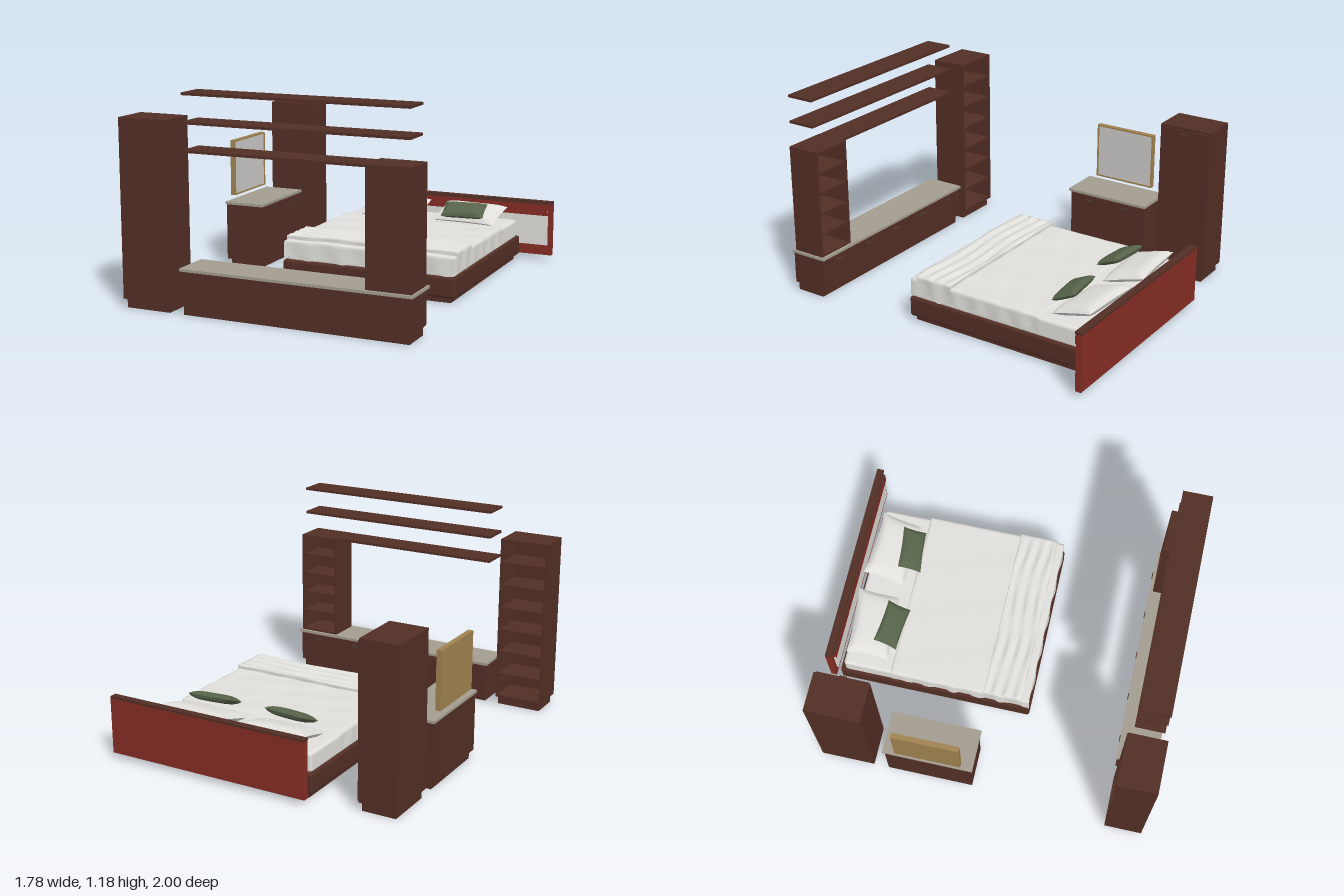
import * as THREE from 'three';
import { RoundedBoxGeometry } from 'three/addons/geometries/RoundedBoxGeometry.js';

function flat(name, color, side = THREE.FrontSide) {
  const m = new THREE.MeshStandardMaterial({ color, side });
  m.name = name;
  return m;
}

export function createModel() {
  const wood = flat('dark wood', 0x522e25);
  const red = flat('red panel', 0x852d24);
  const stone = flat('grey worktop', 0xa39c90);
  const linen = flat('white linen', 0xe0dfdb, THREE.DoubleSide);
  const green = flat('green cushion', 0x566349);
  const gold = flat('gold frame', 0xa08250);
  const glass = flat('mirror glass', 0xcccbc8);
  const metal = flat('handle metal', 0x4a3a32);

  const root = new THREE.Group();
  root.name = 'bedroomSet';

  const group = (name) => {
    const g = new THREE.Group();
    g.name = name;
    root.add(g);
    return g;
  };
  const add = (parent, name, geometry, material) => {
    const m = new THREE.Mesh(geometry, material);
    m.name = name;
    parent.add(m);
    return m;
  };
  // Box given by its limits on each axis
  const box = (parent, name, mat, x0, x1, y0, y1, z0, z1) => {
    const m = add(parent, name, new THREE.BoxGeometry(x1 - x0, y1 - y0, z1 - z0), mat);
    m.position.set((x0 + x1) / 2, (y0 + y1) / 2, (z0 + z1) / 2);
    return m;
  };

  // Open bookcase facing -z
  const bookcase = (g, x0, x1, y0, y1, z0, z1, shelves) => {
    const t = 0.012;
    box(g, 'sidePanel', wood, x0, x0 + t, y0, y1, z0, z1);
    box(g, 'sidePanel', wood, x1 - t, x1, y0, y1, z0, z1);
    box(g, 'backPanel', wood, x0 + t, x1 - t, y0, y1, z1 - t, z1);
    for (let i = 0; i <= shelves + 1; i++) {
      const y = y0 + (y1 - y0 - t) * i / (shelves + 1);
      const inset = i === 0 || i === shelves + 1 ? 0 : 0.01;
      box(g, 'shelf', wood, x0 + t, x1 - t, y, y + t, z0 + inset, z1 - t);
    }
  };

  // Tall bookcase on a plinth, and the short one standing on the bench
  const tall = group('tallBookcase');
  box(tall, 'plinth', wood, -0.88, -0.615, 0, 0.05, 0.80, 0.98);
  bookcase(tall, -0.895, -0.605, 0.05, 1.03, 0.78, 0.995, 6);
  bookcase(group('shortBookcase'), 0.51, 0.758, 0.25, 0.88, 0.785, 0.98, 4);

  // Low bench with five drawers facing the bed
  const bench = group('bench');
  box(bench, 'plinth', wood, -0.53, 0.75, 0, 0.05, 0.80, 0.98);
  box(bench, 'body', wood, -0.54, 0.76, 0.05, 0.237, 0.785, 0.993);
  box(bench, 'worktop', stone, -0.545, 0.77, 0.237, 0.252, 0.767, 0.997);
  for (let i = 0; i < 5; i++) {
    const x = -0.41 + i * 0.26;
    box(bench, 'drawerFront', wood, x - 0.127, x + 0.127, 0.055, 0.23, 0.775, 0.785);
    box(bench, 'drawerHandle', metal, x - 0.02, x + 0.02, 0.2, 0.206, 0.763, 0.775);
  }

  // Floating shelves
  const shelves = group('wallShelves');
  for (const y of [0.865, 1.013, 1.163])
    box(shelves, 'wallShelf', wood, -0.52, 0.745, y, y + 0.014, 0.815, 0.98);

  // Wardrobe facing +x
  const wardrobe = group('wardrobe');
  box(wardrobe, 'plinth', wood, -0.815, -0.62, 0, 0.05, -0.90, -0.62);
  box(wardrobe, 'body', wood, -0.83, -0.61, 0.05, 0.925, -0.917, -0.605);
  box(wardrobe, 'door', wood, -0.61, -0.6, 0.055, 0.91, -0.908, -0.614);
  box(wardrobe, 'doorHandle', metal, -0.6, -0.59, 0.89, 0.896, -0.78, -0.74);

  // Dressing table with two doors and a framed mirror
  const dresser = group('dressingTable');
  box(dresser, 'plinth', wood, -0.81, -0.63, 0, 0.05, -0.50, -0.035);
  box(dresser, 'body', wood, -0.83, -0.61, 0.05, 0.383, -0.517, -0.018);
  box(dresser, 'worktop', stone, -0.836, -0.59, 0.383, 0.398, -0.53, -0.01);
  for (const z of [-0.39, -0.145]) {
    box(dresser, 'door', wood, -0.61, -0.6, 0.055, 0.372, z - 0.117, z + 0.117);
    box(dresser, 'doorHandle', metal, -0.6, -0.59, 0.343, 0.349, z - 0.02, z + 0.02);
  }
  const mirror = group('mirror');
  box(mirror, 'mirrorBack', gold, -0.833, -0.815, 0.427, 0.757, -0.455, -0.077);
  for (const y of [0.427, 0.748]) box(mirror, 'frameRail', gold, -0.815, -0.803, y, y + 0.009, -0.455, -0.077);
  for (const z of [-0.455, -0.086]) box(mirror, 'frameStile', gold, -0.815, -0.803, 0.436, 0.748, z, z + 0.009);
  box(mirror, 'mirrorGlass', glass, -0.815, -0.808, 0.436, 0.748, -0.446, -0.086);

  // Headboard
  const head = group('headboard');
  box(head, 'backBoard', red, -0.34, 0.89, 0.03, 0.35, -1, -0.965);
  box(head, 'cap', wood, -0.34, 0.89, 0.35, 0.362, -1, -0.958);
  box(head, 'paddedPanel', linen, -0.31, 0.865, 0.093, 0.31, -0.966, -0.955);
  box(head, 'topRail', red, -0.31, 0.865, 0.277, 0.345, -0.966, -0.946);
  box(head, 'railTop', wood, -0.31, 0.865, 0.345, 0.35, -0.966, -0.946);

  // Bed base and mattress
  const bed = group('bed');
  const cx = 0.18;
  const rounded = (name, mat, w, h, d, r, y, z) =>
    add(bed, name, new RoundedBoxGeometry(w, h, d, 3, r), mat).position.set(cx, y, z);
  box(bed, 'plinth', wood, -0.31, 0.67, 0, 0.035, -0.91, 0.19);
  rounded('bedBase', wood, 1.04, 0.117, 1.145, 0.015, 0.0885, -0.358);
  rounded('mattress', linen, 1.01, 0.115, 1.1, 0.02, 0.1925, -0.355);

  // Cloth that lies flat, then hangs over the sides and the ends
  const cloth = (name, o) => {
    const len = o.z1 - o.z0 + o.foot + o.head;
    const geo = new THREE.PlaneGeometry(2 * (o.half + o.side), len, 84, 72).rotateX(-Math.PI / 2);
    geo.translate(0, 0, o.z0 - o.head + len / 2);
    const p = geo.attributes.position;
    for (let i = 0; i < p.count; i++) {
      const u = p.getX(i), v = p.getZ(i), s = Math.sign(u);
      const z = THREE.MathUtils.clamp(v, o.z0, o.z1);
      const dx = Math.max(0, Math.abs(u) - o.half);
      const dz = Math.abs(v - z);
      const fallX = dx * (1 + 0.13 * Math.sin(z * 38 + s) + 0.06 * Math.sin(z * 71));
      const fallZ = dz * (1 + 0.1 * Math.sin(u * 30));
      const x = s * (Math.min(Math.abs(u), o.half) + 0.005 * Math.sin(z * 45) * dx / o.side);
      const over = Math.max(fallX, fallZ);
      const crease = over > 0 ? 0 : o.crease(u, z);
      p.setXYZ(i, x + cx, o.top - over + crease, z + 0.005 * Math.sin(u * 32) * Math.min(1, dz * 12));
    }
    geo.computeVertexNormals();
    add(bed, name, geo, linen);
  };
  cloth('blanket', {
    half: 0.512, z0: -0.62, z1: 0.208, top: 0.259, side: 0.09, foot: 0.1, head: 0.008,
    crease: (x, z) => 0.003 * Math.sin(x * 16 + z * 12) * Math.sin(z * 19 - x * 5),
  });
  cloth('foldedThrow', {
    half: 0.515, z0: -0.06, z1: 0.165, top: 0.28, side: 0.058, foot: 0.03, head: 0.018,
    crease: (x, z) => 0.006 * Math.sin(z * 95 + Math.sin(x * 9)) * (0.7 + 0.3 * Math.sin(x * 21)),
  });

  // Soft pillow: thick in the middle, pinched to a seam, with pulled-in edges
  const pillow = (name, mat, w, d, h, x, y, z, yaw, tilt) => {
    const geo = new THREE.BoxGeometry(w, h, d, 22, 1, 16);
    const p = geo.attributes.position;
    for (let i = 0; i < p.count; i++) {
      const a = 2 * p.getX(i) / w, b = 2 * p.getZ(i) / d;
      const puff = Math.sqrt(Math.max(0, (1 - a ** 4) * (1 - b ** 4)));
      p.setXYZ(i,
        p.getX(i) * (0.96 + 0.04 * b * b),
        Math.sign(p.getY(i)) * h / 2 * puff,
        p.getZ(i) * (0.93 + 0.07 * a * a));
    }
    geo.computeVertexNormals();
    const m = add(bed, name, geo, mat);
    m.rotation.order = 'YXZ';
    m.rotation.set(tilt, yaw, 0);
    m.position.set(x, y, z);
  };
  pillow('pillow', linen, 0.4, 0.25, 0.07, -0.065, 0.29, -0.785, 0.07, 0.27);
  pillow('pillow', linen, 0.4, 0.25, 0.07, 0.425, 0.29, -0.785, -0.06, 0.27);
  pillow('cushion', green, 0.26, 0.145, 0.05, -0.06, 0.33, -0.67, -0.1, 0.42);
  pillow('cushion', green, 0.26, 0.145, 0.05, 0.43, 0.33, -0.67, 0.1, 0.42);

  return root;
}
